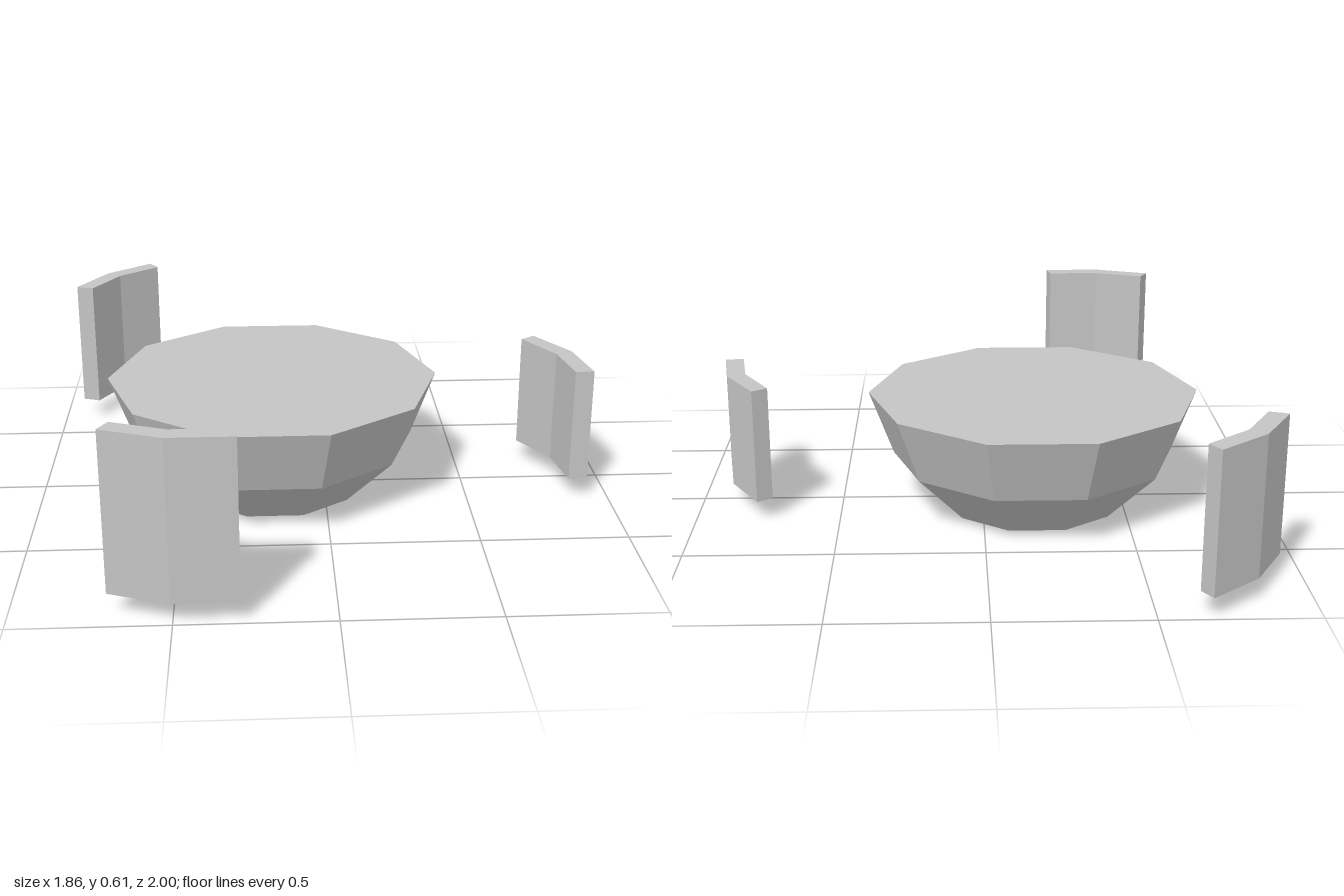
import * as THREE from 'three';

const BASE_Y = 0.07;

// Bent wall panel: plan outline as [x, z] pairs, raised from BASE_Y to topY
function makePanel(name, outline, topY, material) {
  const shape = new THREE.Shape(outline.map(([x, z]) => new THREE.Vector2(x, -z)));
  const geometry = new THREE.ExtrudeGeometry(shape, { depth: topY - BASE_Y, bevelEnabled: false });
  geometry.rotateX(-Math.PI / 2);
  geometry.translate(0, BASE_Y, 0);
  const mesh = new THREE.Mesh(geometry, material);
  mesh.name = name;
  return mesh;
}

export function createModel() {
  const group = new THREE.Group();
  group.name = 'bowlWithPanels';
  const stone = new THREE.MeshStandardMaterial({ color: 0xc4c4c4, flatShading: true });
  stone.name = 'stone grey';

  // Ten-sided solid bowl with a flat top
  const profile = [[0, 0], [0.315, 0], [0.495, 0.18], [0.58, 0.405], [0, 0.405]]
    .map(([r, y]) => new THREE.Vector2(r, y));
  const bowl = new THREE.Mesh(new THREE.LatheGeometry(profile, 10, Math.PI / 2), stone);
  bowl.name = 'bowl';
  bowl.position.set(-0.18, 0, -0.02);
  group.add(bowl);

  // Three bent panels standing around the bowl, each of a different height
  group.add(makePanel('frontPanel', [
    [-0.7, 0.925], [-0.505, 0.998], [-0.295, 0.998],
    [-0.307, 0.935], [-0.495, 0.935], [-0.67, 0.87],
  ], 0.605, stone));
  group.add(makePanel('leftPanel', [
    [0.785, -0.21], [0.89, -0.035], [0.925, 0.175],
    [0.86, 0.175], [0.83, -0.01], [0.735, -0.175],
  ], 0.472, stone));
  group.add(makePanel('backPanel', [
    [-0.664, -1], [-0.632, -0.948], [-0.775, -0.828],
    [-0.868, -0.663], [-0.93, -0.685], [-0.825, -0.867],
  ], 0.54, stone));

  return group;
}
